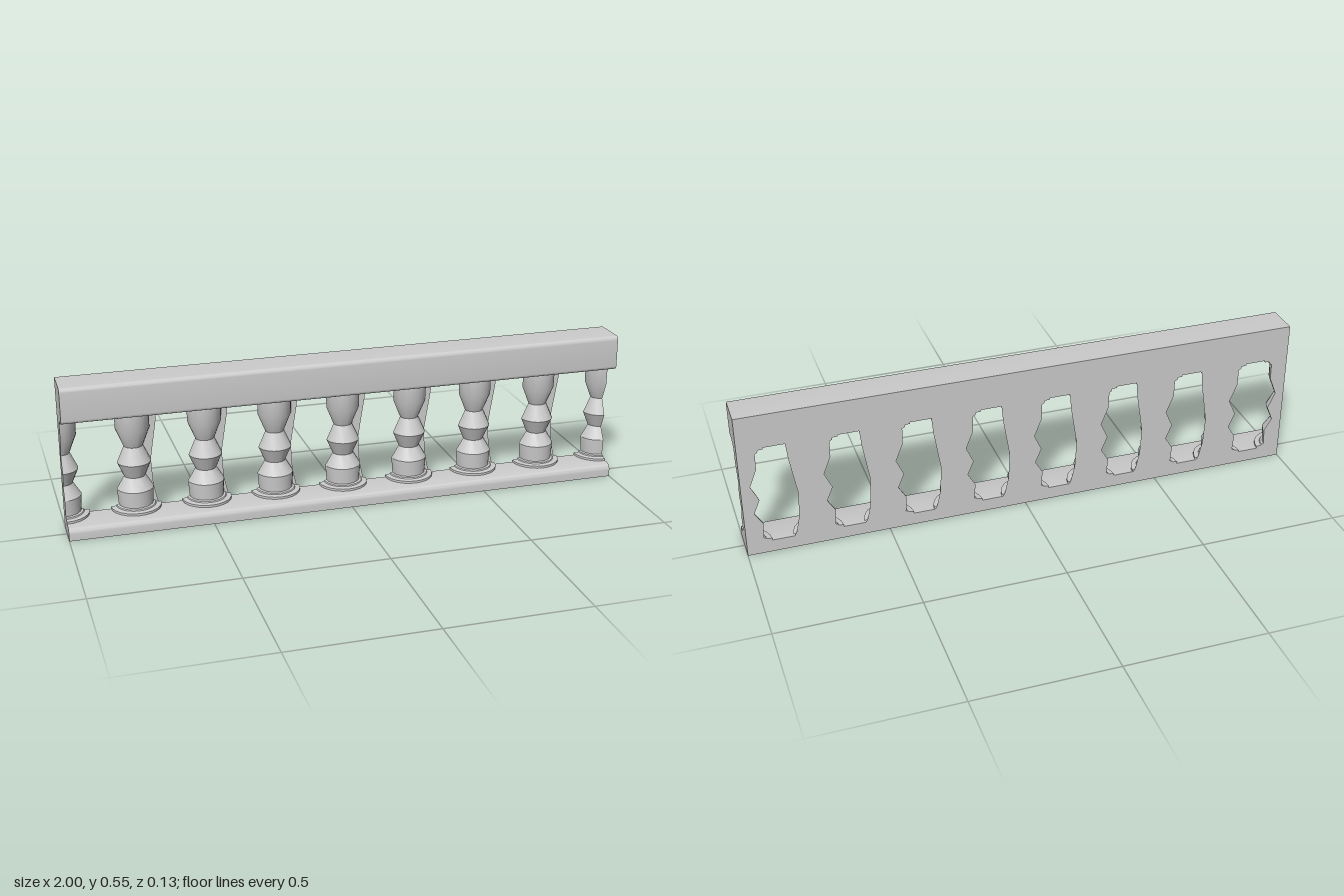
import * as THREE from 'three';
import { toCreasedNormals } from 'three/addons/utils/BufferGeometryUtils.js';

const BACK = -0.064, FRONT = 0.064, SPACING = 0.25;
const material = new THREE.MeshStandardMaterial({ color: 0xcccccc, side: THREE.DoubleSide });

// Baluster outline as [radius, height], from bottom to top
const PROFILE = [
  [0.088, 0.04], [0.088, 0.054], [0.07, 0.056], [0.068, 0.06], [0.06, 0.062], [0.062, 0.09],
  [0.064, 0.12], [0.037, 0.165], [0.059, 0.217], [0.033, 0.275], [0.059, 0.34],
  [0.06, 0.4], [0.069, 0.405], [0.07, 0.413], [0.088, 0.414], [0.088, 0.425],
];
// Straight outline of the flat web behind the right side of each baluster
const WEB = [
  [0.088, 0.04], [0.077, 0.06], [0.064, 0.12], [0.059, 0.217], [0.082, 0.36], [0.088, 0.425],
];

function mesh(name, geometry) {
  const m = new THREE.Mesh(geometry, material);
  m.name = name;
  return m;
}

// Rail with a flat back and rounded front edges, running along x
function rail(name, y0, y1, lowRound, topRoundZ, topRoundY) {
  const s = new THREE.Shape();
  s.moveTo(BACK, y0);
  s.lineTo(FRONT - lowRound, y0);
  if (lowRound) s.quadraticCurveTo(FRONT, y0, FRONT, y0 + lowRound);
  s.lineTo(FRONT, y1 - topRoundY);
  s.quadraticCurveTo(FRONT, y1, FRONT - topRoundZ, y1);
  s.lineTo(BACK, y1);
  s.closePath();
  const g = new THREE.ExtrudeGeometry(s, { depth: 2, bevelEnabled: false, curveSegments: 5 });
  g.rotateY(-Math.PI / 2);
  g.translate(1, 0, 0);
  return mesh(name, toCreasedNormals(g, 0.6));
}

// Flat face bounded by two outlines, in the xy plane
function flatFace(name, left, right) {
  const points = [
    ...right.map(([r, y]) => new THREE.Vector2(r, y)),
    ...[...left].reverse().map(([r, y]) => new THREE.Vector2(-r, y)),
  ];
  const g = new THREE.ShapeGeometry(new THREE.Shape(points));
  g.rotateY(Math.PI);
  g.scale(-1, 1, 1);
  // the mirror flips the winding, so swap it back to face -z
  const index = g.index.array;
  for (let i = 0; i < index.length; i += 3) [index[i], index[i + 1]] = [index[i + 1], index[i]];
  g.computeVertexNormals();
  if (g.attributes.normal.getZ(0) > 0) {
    for (let i = 0; i < index.length; i += 3) [index[i], index[i + 1]] = [index[i + 1], index[i]];
    g.computeVertexNormals();
  }
  return mesh(name, g);
}

// Part-turned post: side 0 is a front half, -1 or 1 a quarter cut off at that end
function baluster(side) {
  const group = new THREE.Group();
  const points = PROFILE.map(([r, y]) => new THREE.Vector2(r, y));
  const start = side < 0 ? 0 : -Math.PI / 2;
  const sweep = side ? Math.PI / 2 : Math.PI;
  const lathe = new THREE.LatheGeometry(points, side ? 6 : 12, start, sweep);
  group.add(mesh('turnedPost', toCreasedNormals(lathe, 0.45)));

  const axis = [[0, 0.04], [0, 0.425]];
  const back = side === 0 ? flatFace('backWeb', PROFILE, WEB)
    : side < 0 ? flatFace('backFace', axis, PROFILE)
      : flatFace('backFace', PROFILE, axis);
  group.add(back);

  // Cut face of the end posts
  if (side) {
    const cut = flatFace('endFace', axis, PROFILE);
    cut.rotation.y = -Math.PI / 2;
    if (side < 0) group.add(cut);
    else {
      const other = flatFace('endFace', PROFILE, axis);
      other.rotation.y = Math.PI / 2;
      other.rotation.y = Math.PI / 2;
      group.add(other);
    }
  }
  return group;
}

export function createModel() {
  const model = new THREE.Group();
  model.name = 'balustrade';
  model.add(rail('bottomRail', 0, 0.046, 0, 0.022, 0.022));
  model.add(rail('topRail', 0.42, 0.545, 0.012, 0.015, 0.015));

  for (let i = -4; i <= 4; i++) {
    const b = baluster(Math.abs(i) === 4 ? Math.sign(i) : 0);
    b.name = Math.abs(i) === 4 ? 'endBaluster' : 'baluster';
    b.position.set(i * SPACING, 0, BACK);
    model.add(b);
  }
  return model;
}
